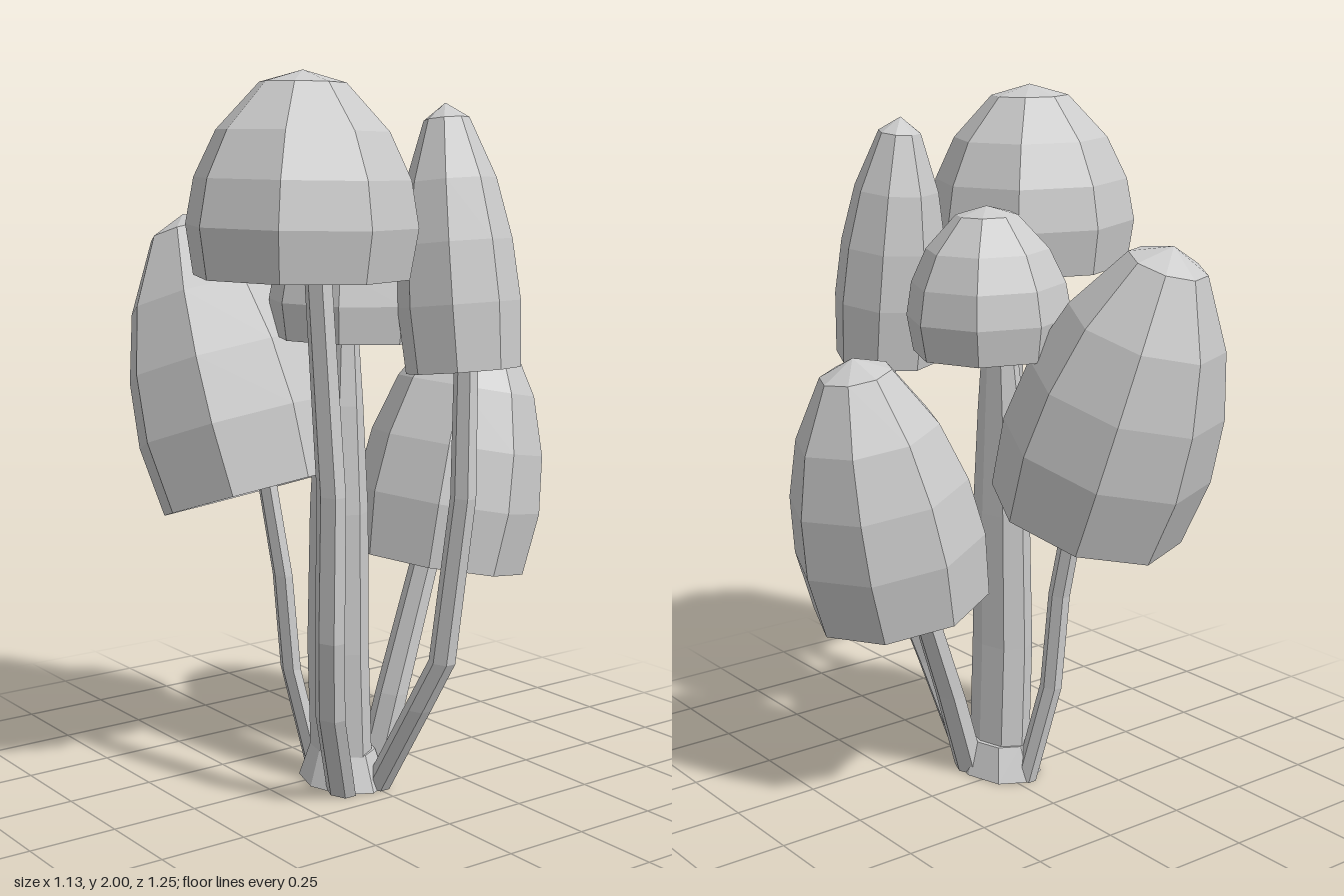
import * as THREE from 'three';

const material = new THREE.MeshStandardMaterial({
  color: 0xcccccc, flatShading: true, side: THREE.DoubleSide,
});

// Cap outline from rim to apex: [share of radius, share of height]
const CAP_PROFILE = [[0.93, 0], [1, 0.25], [0.93, 0.48], [0.74, 0.71], [0.37, 0.94], [0, 1]];
const vec = (p) => new THREE.Vector3(...p);

// Hollow eight-sided cap, tilted so its axis runs from rim centre to apex
function makeCap(rim, apex, radius) {
  const axis = vec(apex).sub(vec(rim));
  const height = axis.length();
  const points = CAP_PROFILE.map(([r, t]) => new THREE.Vector2(r * radius, t * height));
  const cap = new THREE.Mesh(new THREE.LatheGeometry(points, 8), material);
  cap.position.set(...rim);
  cap.quaternion.setFromUnitVectors(new THREE.Vector3(0, 1, 0), axis.normalize());
  cap.name = 'cap';
  return cap;
}

// Stem: a slightly flattened cylinder whose rings follow the path, narrowing towards the top
function makeStem(path, bottomRadius, topRadius, sides) {
  const rows = path.length - 1;
  const geometry = new THREE.CylinderGeometry(1, 1, 1, sides, rows);
  const pos = geometry.attributes.position;
  for (let i = 0; i < pos.count; i++) {
    const t = pos.getY(i) + 0.5;
    const [x, y, z] = path[Math.round(t * rows)];
    const r = THREE.MathUtils.lerp(bottomRadius, topRadius, t ** 3);
    pos.setXYZ(i, x + pos.getX(i) * r, y, z + pos.getZ(i) * r * 0.7);
  }
  geometry.computeVertexNormals();
  const stem = new THREE.Mesh(geometry, material);
  stem.name = 'stem';
  return stem;
}

function makeMushroom(name, cap, stem) {
  const mushroom = new THREE.Group();
  mushroom.name = name;
  mushroom.add(cap, stem);
  return mushroom;
}

export function createModel() {
  const model = new THREE.Group();
  model.name = 'mushroomCluster';

  // Shared foot where the stems meet
  const foot = new THREE.Mesh(new THREE.CylinderGeometry(0.11, 0.15, 0.1, 8), material);
  foot.scale.z = 0.75;
  foot.position.set(0.05, 0.05, 0.03);
  foot.name = 'foot';
  model.add(foot);

  model.add(makeMushroom('frontMushroom',
    makeCap([0.25, 1.475, 0.31], [0.25, 2, 0.3], 0.305),
    makeStem([[0.14, 0, 0.1], [0.24, 0.27, 0.21], [0.28, 0.5, 0.24], [0.295, 0.9, 0.245], [0.245, 1.6, 0.26]],
      0.052, 0.045, 6)));

  model.add(makeMushroom('centreMushroom',
    makeCap([0.05, 1.28, 0], [0.05, 1.69, -0.01], 0.235),
    makeStem([[0.05, 0.05, 0.035], [0.055, 0.4, 0.05], [0.06, 0.8, 0.05], [0.055, 1.1, 0.045], [0.05, 1.42, 0.03]],
      0.108, 0.045, 8)));

  model.add(makeMushroom('rightMushroom',
    makeCap([-0.18, 0.825, 0.17], [-0.43, 1.61, 0.25], 0.303),
    makeStem([[-0.07, 0, 0.04], [-0.125, 0.3, 0.09], [-0.135, 0.58, 0.11], [-0.21, 1.05, 0.15]],
      0.038, 0.035, 6)));

  model.add(makeMushroom('leftMushroom',
    makeCap([0.41, 1.218, -0.105], [0.325, 1.92, -0.105], 0.165),
    makeStem([[0.16, 0, -0.01], [0.32, 0.27, -0.03], [0.4, 0.42, -0.05], [0.44, 0.88, -0.085], [0.4, 1.4, -0.125]],
      0.045, 0.038, 6)));

  model.add(makeMushroom('backMushroom',
    makeCap([0.05, 0.6, -0.315], [0.05, 1.318, -0.46], 0.273),
    makeStem([[0.09, 0, -0.045], [0.1, 0.25, -0.11], [0.09, 0.85, -0.31]],
      0.058, 0.045, 6)));

  return model;
}
